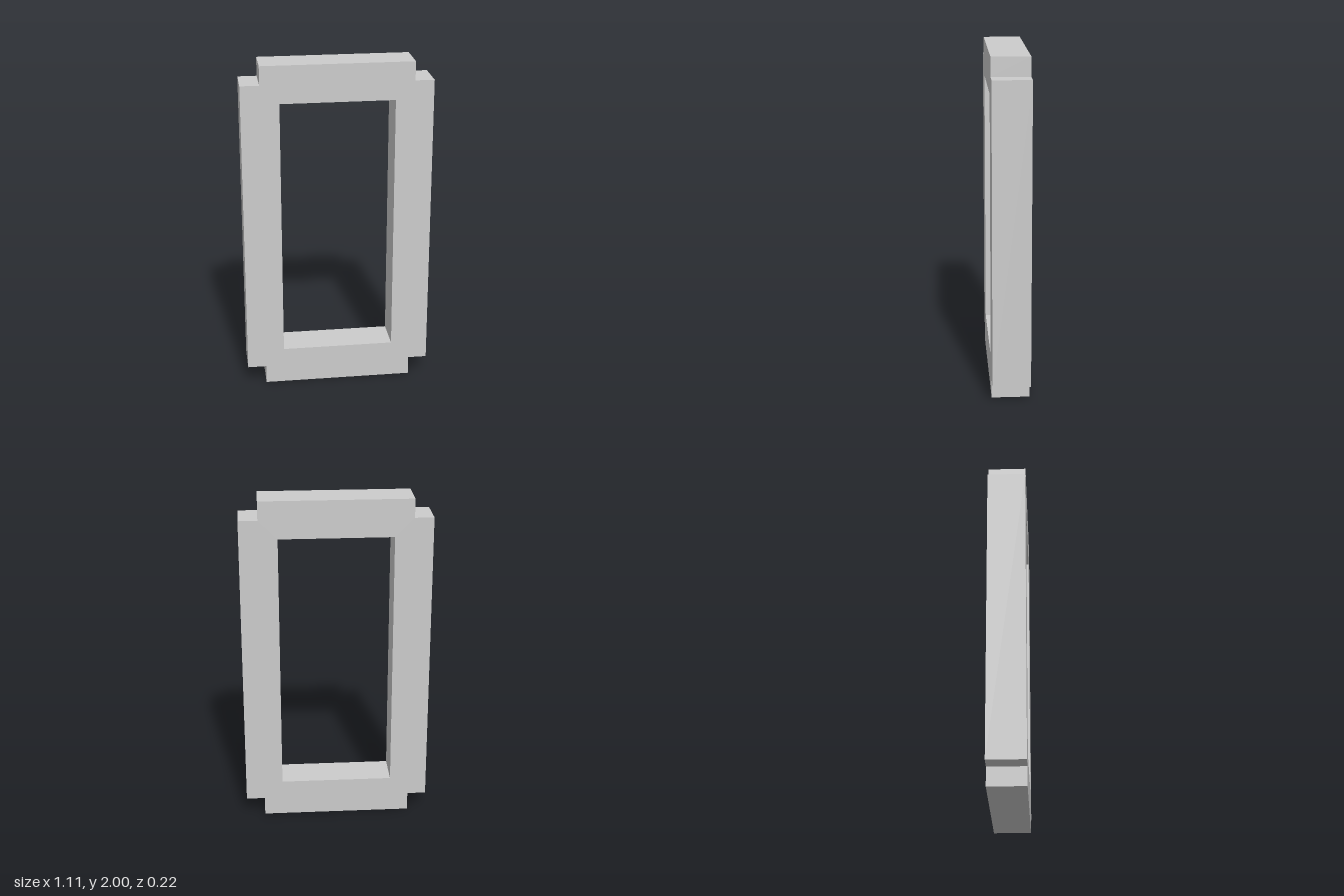
import * as THREE from 'three';

const U = 1 / 9; // module: the frame is 10 x 18 x 2 units

// Rectangular frame with a square notch at each outer corner
export function createModel() {
  const group = new THREE.Group();
  group.name = 'notchedFrame';

  const halfW = 5 * U, height = 18 * U, depth = 2 * U, notch = U, border = 2 * U;
  const innerW = halfW - notch;

  // Outer outline, counter-clockwise from the bottom left
  const outline = new THREE.Shape([
    [-innerW, 0], [innerW, 0], [innerW, notch], [halfW, notch],
    [halfW, height - notch], [innerW, height - notch], [innerW, height],
    [-innerW, height], [-innerW, height - notch], [-halfW, height - notch],
    [-halfW, notch], [-innerW, notch],
  ].map(([x, y]) => new THREE.Vector2(x, y)));

  // Rectangular opening
  const holeX = halfW - border;
  outline.holes.push(new THREE.Path([
    [-holeX, border], [-holeX, height - border],
    [holeX, height - border], [holeX, border],
  ].map(([x, y]) => new THREE.Vector2(x, y))));

  const geometry = new THREE.ExtrudeGeometry(outline, { depth, bevelEnabled: false });
  geometry.translate(0, 0, -depth / 2);

  const frame = new THREE.Mesh(
    geometry,
    new THREE.MeshStandardMaterial({ color: 0xcccccc, flatShading: true }),
  );
  frame.name = 'frame';
  group.add(frame);
  return group;
}
